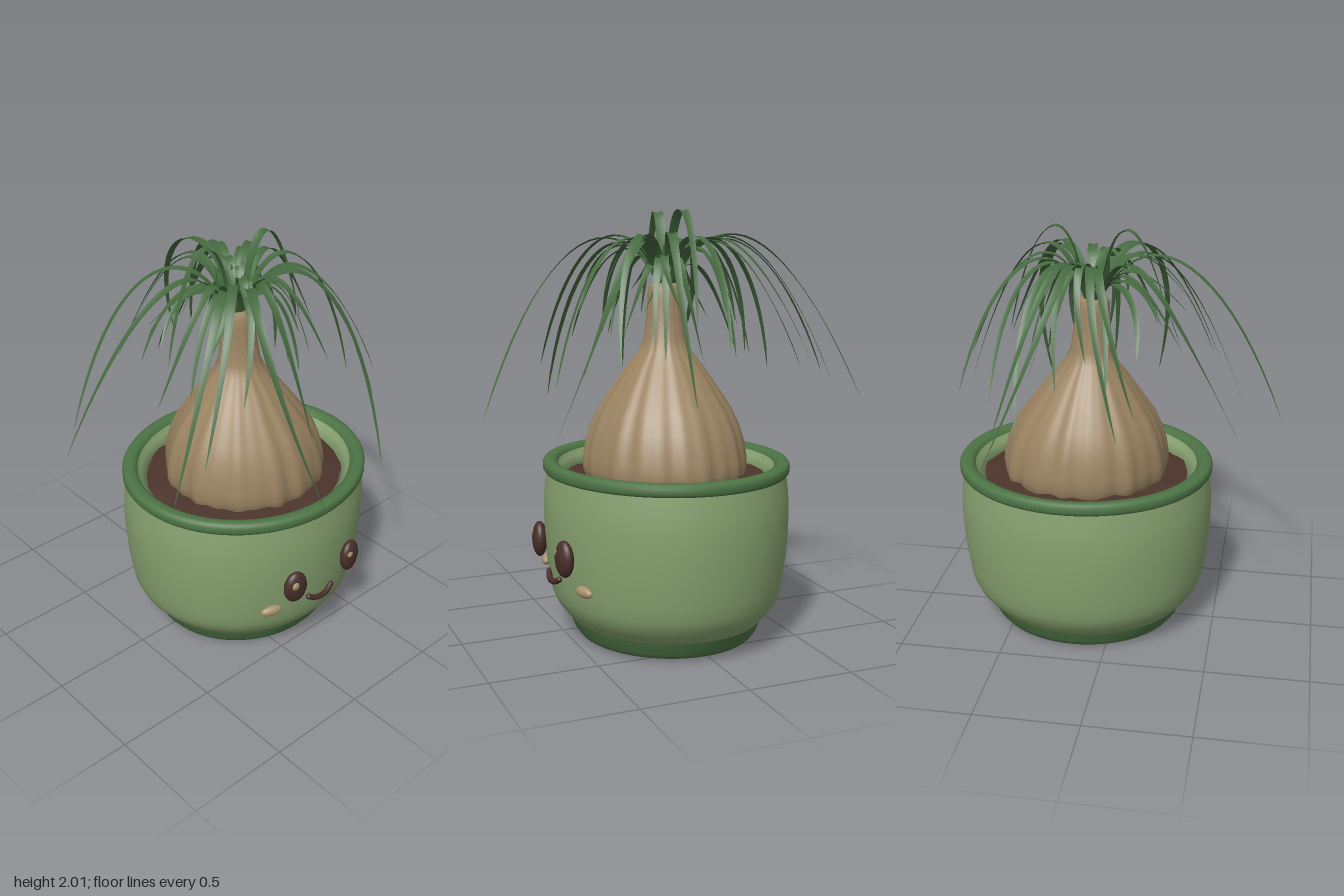
import * as THREE from 'three';
import { mergeGeometries, mergeVertices } from 'three/addons/utils/BufferGeometryUtils.js';

const CX = 0.16, CZ = 0.03, DEPTH = 0.917; // pot centre and its oval depth

const mat = (name, color, side = THREE.FrontSide) => {
  const m = new THREE.MeshStandardMaterial({ color, side });
  m.name = name;
  return m;
};

function addMesh(parent, name, geometry, material, x = 0, y = 0, z = 0) {
  const mesh = new THREE.Mesh(geometry, material);
  mesh.name = name;
  mesh.position.set(x, y, z);
  parent.add(mesh);
  return mesh;
}

const lathe = (points, segments = 64) =>
  new THREE.LatheGeometry(points.map(([r, y]) => new THREE.Vector2(r, y)), segments, Math.PI);

// Swollen trunk: a lathe with vertical folds, leaning slightly towards its top
function trunkGeometry() {
  const profile = [[0.37, 0.74], [0.395, 0.78], [0.405, 0.82], [0.402, 0.87], [0.388, 0.94], [0.365, 1.01],
    [0.325, 1.09], [0.255, 1.19], [0.19, 1.28], [0.125, 1.36], [0.1, 1.42], [0.088, 1.52], [0.08, 1.6],
    [0.078, 1.65], [0.064, 1.67], [0.001, 1.675]];
  const g = lathe(profile, 120);
  g.deleteAttribute('uv');
  g.deleteAttribute('normal');
  const p = g.attributes.position;
  for (let i = 0; i < p.count; i++) {
    const x = p.getX(i), y = p.getY(i), z = p.getZ(i);
    const a = Math.atan2(x, z);
    const up = THREE.MathUtils.clamp((y - 0.75) / 0.9, 0, 1);
    const fold = 0.017 * Math.sin(13 * a + 1.5 * Math.sin(2 * a) + up) + 0.012 * Math.sin(23 * a + 1.3);
    const k = 1 + fold * (1 - 0.6 * up);
    p.setXYZ(i, x * k + 0.165 - 0.05 * up, y, z * k * (0.93 + 0.07 * up) + 0.035 - 0.02 * up);
  }
  const merged = mergeVertices(g, 1e-4);
  merged.computeVertexNormals();
  return merged;
}

// One arching blade: a tapering ribbon with a shallow fold along its middle
function leafGeometry([tx, ty, tz, rise, bend]) {
  const base = new THREE.Vector3(0.115, 1.64, 0.01);
  const tip = new THREE.Vector3(tx, ty, tz);
  const out = new THREE.Vector3(tx - base.x, 0, tz - base.z);
  const length = out.length();
  out.normalize();
  const side = new THREE.Vector3(-out.z, 0, out.x);
  base.addScaledVector(out, 0.03);
  const c1 = base.clone().addScaledVector(out, 0.2 * length).setY(base.y + rise);
  const c2 = base.clone().addScaledVector(out, 0.6 * length).addScaledVector(side, bend).setY(base.y + 0.75 * rise);
  const curve = new THREE.CubicBezierCurve3(base, c1, c2, tip);
  const N = 20, pos = [], idx = [];
  for (let i = 0; i <= N; i++) {
    const t = i / N, c = curve.getPoint(t), d = curve.getTangent(t);
    const across = new THREE.Vector3(-d.z, 0, d.x).normalize();
    const w = 0.024 * Math.pow(1 - t, 0.6) * (0.7 + 0.55 * Math.min(1, t * 3)) + 0.001;
    for (const s of [-1, 0, 1]) pos.push(c.x + across.x * w * s, c.y + Math.abs(s) * w * 0.3, c.z + across.z * w * s);
    if (i < N) for (const k of [0, 1]) {
      const a = i * 3 + k;
      idx.push(a, a + 1, a + 3, a + 1, a + 4, a + 3);
    }
  }
  const g = new THREE.BufferGeometry();
  g.setAttribute('position', new THREE.Float32BufferAttribute(pos, 3));
  g.setIndex(idx);
  g.computeVertexNormals();
  return g;
}

export function createModel() {
  const model = new THREE.Group();
  model.name = 'pottedPlant';
  const sage = mat('sage glaze', 0x87a270);
  const green = mat('dark green glaze', 0x4d7445);
  const soilMat = mat('soil', 0x4c342b);
  const bark = mat('bark', 0x9b8462);
  const leafMat = mat('leaf green', 0x466a40, THREE.DoubleSide);
  const brown = mat('dark brown', 0x482f29);
  const tan = mat('tan', 0xa8926d);

  // Oval pot, hollow, with a drain hole
  const pot = new THREE.Group();
  pot.name = 'pot';
  pot.position.set(CX, 0, CZ);
  pot.scale.z = DEPTH;
  model.add(pot);
  addMesh(pot, 'foot', lathe([[0.125, 0.11], [0.125, 0.055], [0.135, 0.038], [0.17, 0.026], [0.26, 0.016], [0.33, 0.005],
    [0.37, 0], [0.41, 0.002], [0.455, 0.015], [0.475, 0.04], [0.502, 0.1]]), green);
  addMesh(pot, 'body', lathe([[0.502, 0.1], [0.535, 0.135], [0.567, 0.175], [0.59, 0.225], [0.602, 0.29], [0.617, 0.4],
    [0.626, 0.52], [0.628, 0.62], [0.624, 0.7], [0.61, 0.8]]), sage);
  addMesh(pot, 'rim', lathe([[0.6, 0.795], [0.62, 0.797], [0.629, 0.81], [0.629, 0.835], [0.62, 0.848], [0.6, 0.854],
    [0.575, 0.852], [0.558, 0.843], [0.55, 0.825]]), green);
  addMesh(pot, 'innerWall', lathe([[0.552, 0.83], [0.535, 0.805], [0.505, 0.77], [0.52, 0.6], [0.51, 0.35],
    [0.45, 0.18], [0.3, 0.12], [0.125, 0.11]]), sage);

  // Soil, a low uneven dome
  const soilGeo = lathe([[0.512, 0.768], [0.48, 0.778], [0.4, 0.785], [0.2, 0.79], [0.001, 0.79]], 48);
  const sp = soilGeo.attributes.position;
  for (let i = 0; i < sp.count; i++) {
    const a = Math.atan2(sp.getX(i), sp.getZ(i));
    sp.setY(i, sp.getY(i) + 0.006 * Math.sin(9 * a) + 0.004 * Math.sin(16 * a + 1));
  }
  soilGeo.computeVertexNormals();
  addMesh(pot, 'soil', soilGeo, soilMat);

  addMesh(model, 'trunk', trunkGeometry(), bark);

  // Long outer blades: tip x, y, z, rise, sideways bend
  const leaves = [
    [-0.79, 1.17, -0.12, 0.42, -0.08], [-0.6, 1.15, -0.33, 0.4, 0.28], [-0.58, 1.07, 0.38, 0.38, -0.12],
    [-0.46, 1.25, 0.45, 0.42, -0.1], [-0.1, 1.05, 0.84, 0.42, 0.3], [0.45, 1.0, 0.67, 0.4, -0.28],
    [0.49, 1.3, 0.55, 0.4, -0.1], [0.62, 1.35, 0.43, 0.42, 0.1], [0.76, 1.18, 0.14, 0.45, 0.08],
    [0.69, 1.4, -0.05, 0.4, -0.1], [0.64, 1.35, -0.47, 0.4, 0.1], [0.5, 1.3, -0.5, 0.38, 0.15],
    [0.44, 1.22, -0.7, 0.42, -0.1], [0.33, 1.25, -0.71, 0.4, 0.15], [0.45, 1.13, -0.86, 0.44, -0.27],
    [-0.1, 1.22, -0.65, 0.4, 0.15], [-0.16, 1.3, -0.55, 0.38, 0.15], [-0.27, 1.5, -0.02, 0.56, 0.04],
    [0.52, 1.5, 0.03, 0.57, -0.04], [0.1, 1.2, 0.55, 0.38, 0.1], [-0.45, 1.4, 0.12, 0.36, -0.1],
  ];
  // Shorter inner blades spread by the golden angle
  for (let i = 0; i < 22; i++) {
    const a = i * 2.39996 + 0.4, r = 0.27 + 0.22 * ((i * 7) % 11) / 10;
    leaves.push([0.115 + r * Math.cos(a), 1.34 + 0.07 * (i % 5), 0.01 + r * Math.sin(a),
      0.2 + 0.055 * (i % 4), 0.12 * Math.sin(i * 3)]);
  }
  // Upright young blades in the middle
  for (let i = 0; i < 4; i++) {
    const a = i * Math.PI / 2 + 0.5;
    leaves.push([0.115 + 0.1 * Math.cos(a), 1.85 + 0.03 * (i % 3), 0.01 + 0.1 * Math.sin(a), 0.1, 0]);
  }
  addMesh(model, 'leaves', mergeGeometries(leaves.map(leafGeometry)), leafMat);

  // Face on the front of the pot
  const face = new THREE.Group();
  face.name = 'face';
  model.add(face);
  const ball = new THREE.SphereGeometry(1, 28, 20);
  for (const s of [-1, 1]) {
    const tag = s < 0 ? 'right' : 'left';
    const eye = addMesh(face, tag + 'Eye', ball, brown, CX + s * 0.187, 0.463, 0.602);
    eye.scale.set(0.062, 0.085, 0.036);
    eye.rotation.y = s * 0.2;
    const glint = addMesh(face, tag + 'EyeGlint', ball, tan, CX + s * 0.187 - 0.022, 0.49, 0.628);
    glint.scale.set(0.021, 0.021, 0.01);
    const cheek = addMesh(face, tag + 'Cheek', ball, tan, CX + s * 0.283, 0.33, 0.543);
    cheek.scale.set(0.056, 0.026, 0.022);
    cheek.rotation.y = s * 0.3;
  }
  const smile = new THREE.CatmullRomCurve3([[-0.077, 0.334, 0.592], [-0.04, 0.316, 0.602], [0, 0.31, 0.605],
    [0.04, 0.316, 0.602], [0.077, 0.334, 0.592]].map(([x, y, z]) => new THREE.Vector3(CX + x, y, z)));
  addMesh(face, 'mouth', new THREE.TubeGeometry(smile, 24, 0.014, 10), brown);
  for (const end of [0, 1]) {
    const p = smile.getPoint(end);
    addMesh(face, 'mouthCorner', ball, brown, p.x, p.y, p.z).scale.setScalar(0.014);
  }
  return model;
}
